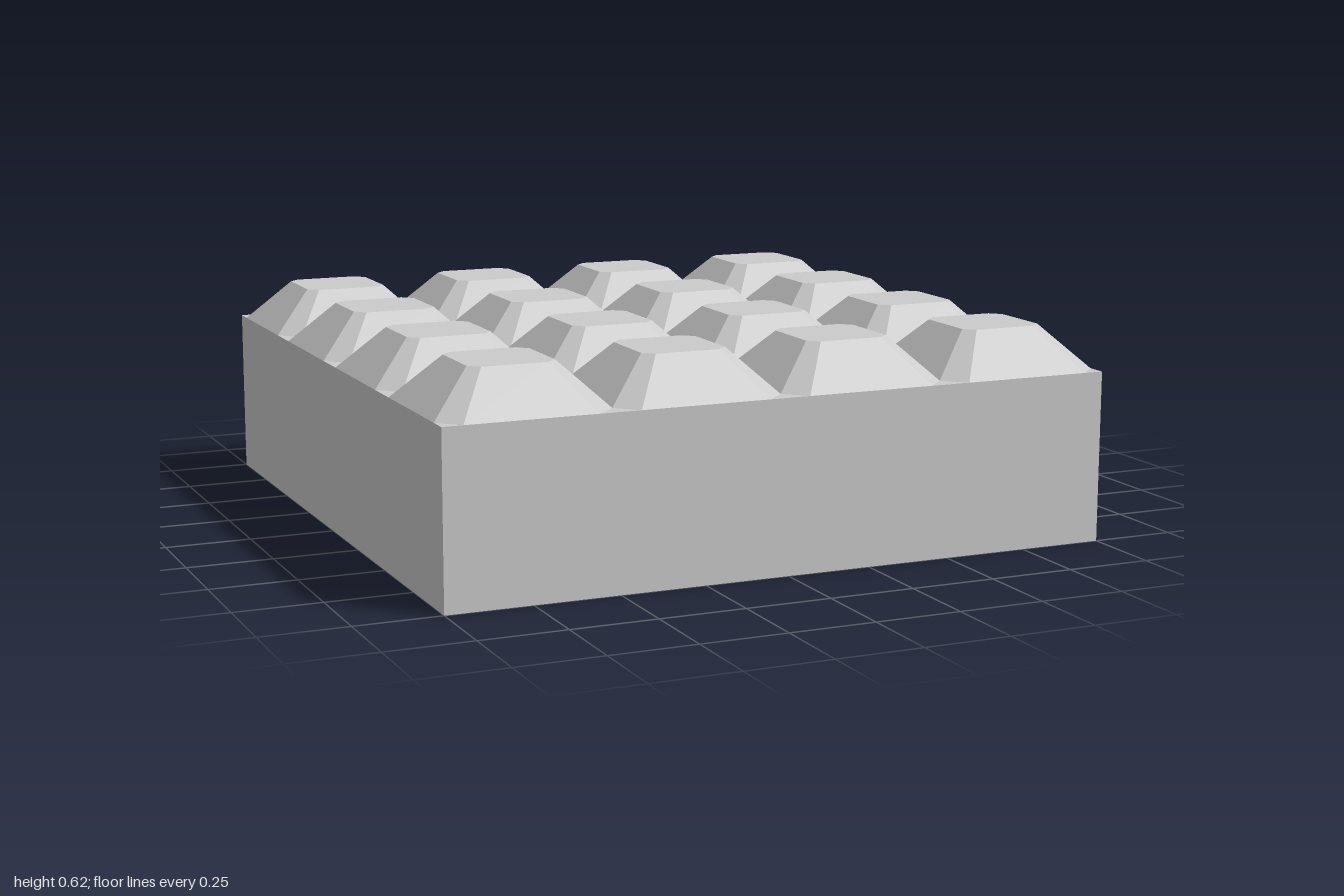
import * as THREE from 'three';

const BASE_HEIGHT = 0.5;
const STUD_HEIGHT = 0.125;
const PITCH = 0.5;
const COUNT = 4;

// Octagon (square with cut corners) as [x, z], counter-clockwise from above
function octagon(half, cut) {
  const k = half - cut;
  return [[half, k], [half, -k], [k, -half], [-k, -half],
    [-half, -k], [-half, k], [-k, half], [k, half]];
}

// Tapered stud: sloped sides and a flat top, open where it meets the base
function studGeometry() {
  const bottom = octagon(0.25, 0.06).map(([x, z]) => [x, 0, z]);
  const top = octagon(0.125, 0.03).map(([x, z]) => [x, STUD_HEIGHT, z]);
  const centre = [0, STUD_HEIGHT, 0];
  const triangles = [];
  for (let i = 0; i < 8; i++) {
    const j = (i + 1) % 8;
    triangles.push(bottom[i], bottom[j], top[j]);
    triangles.push(bottom[i], top[j], top[i]);
    triangles.push(centre, top[i], top[j]);
  }
  const geometry = new THREE.BufferGeometry();
  geometry.setAttribute('position', new THREE.Float32BufferAttribute(triangles.flat(), 3));
  geometry.computeVertexNormals();
  return geometry;
}

export function createModel() {
  const model = new THREE.Group();
  model.name = 'studdedBlock';
  const material = new THREE.MeshStandardMaterial({ color: 0xcccccc, flatShading: true });

  // Solid square block
  const base = new THREE.Mesh(new THREE.BoxGeometry(2, BASE_HEIGHT, 2), material);
  base.name = 'base';
  base.position.y = BASE_HEIGHT / 2;
  model.add(base);

  // Grid of studs covering the top
  const studs = new THREE.Group();
  studs.name = 'studs';
  const geometry = studGeometry();
  const offset = (COUNT - 1) / 2;
  for (let row = 0; row < COUNT; row++) {
    for (let column = 0; column < COUNT; column++) {
      const stud = new THREE.Mesh(geometry, material);
      stud.name = 'stud';
      stud.position.set((column - offset) * PITCH, BASE_HEIGHT, (row - offset) * PITCH);
      studs.add(stud);
    }
  }
  model.add(studs);
  return model;
}
